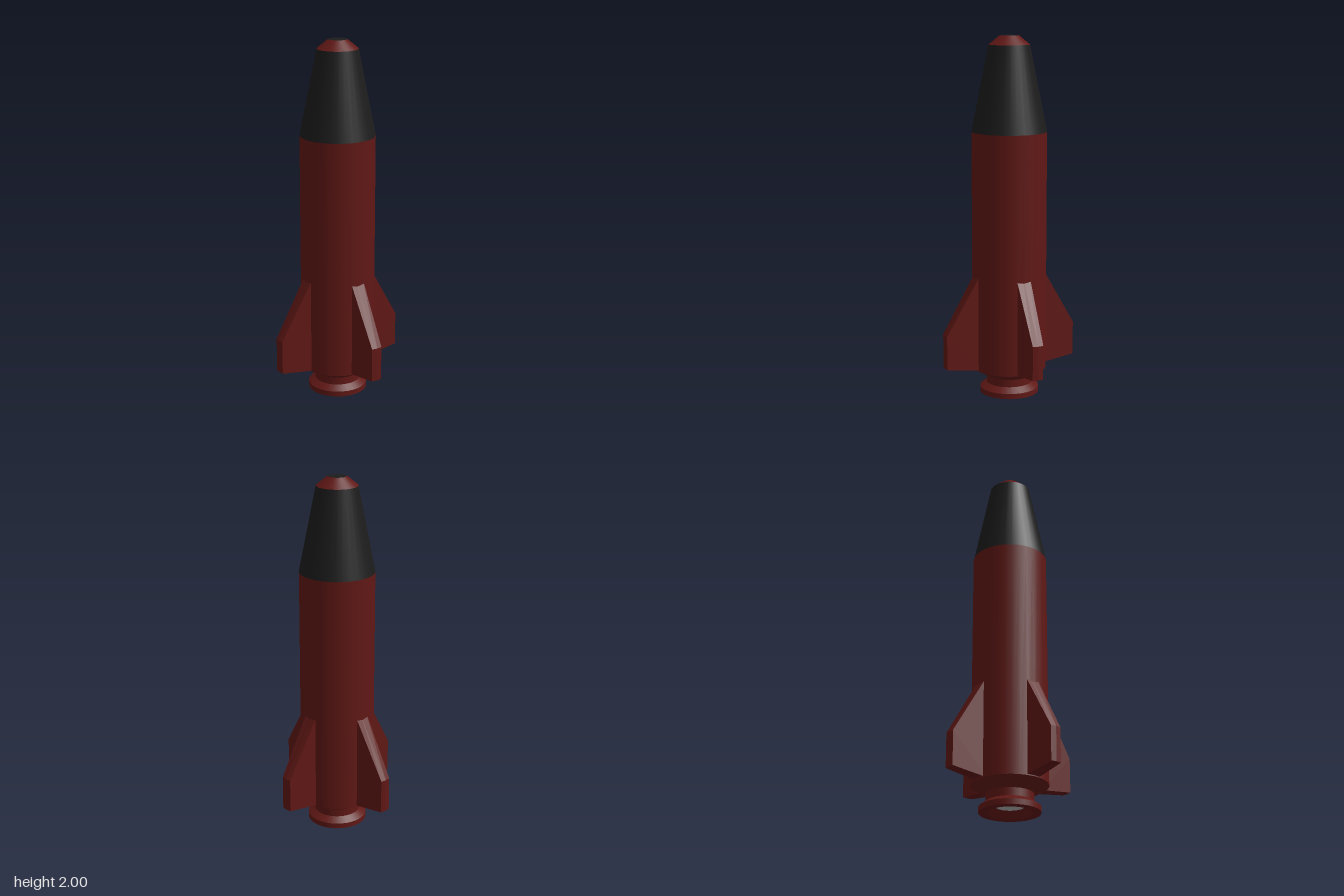
import * as THREE from 'three';

const paint = (color) => new THREE.MeshStandardMaterial({ color, side: THREE.DoubleSide });
const SIDES = 32;

export function createModel() {
  const rocket = new THREE.Group();
  rocket.name = 'rocket';
  const red = paint(0x601815);
  const black = paint(0x1c1c1c);
  const grey = paint(0xb0b0b0);

  // Open conical band between two heights, smooth around and crisp at its ends
  const band = (name, y0, r0, y1, r1, material, parent = rocket) => {
    const geometry = new THREE.CylinderGeometry(r1, r0, Math.abs(y1 - y0), SIDES, 1, true);
    const mesh = new THREE.Mesh(geometry, material);
    mesh.position.y = (y0 + y1) / 2;
    mesh.name = name;
    parent.add(mesh);
  };

  const disc = (name, y, r, facing, material) => {
    const mesh = new THREE.Mesh(new THREE.CircleGeometry(r, SIDES), material);
    mesh.rotation.x = -facing * Math.PI / 2;
    mesh.position.y = y;
    mesh.name = name;
    rocket.add(mesh);
  };

  // Fuselage and nose
  band('tailCone', 0.1, 0.128, 0.145, 0.207, red);
  band('fuselage', 0.145, 0.207, 1.48, 0.207, red);
  band('noseCone', 1.48, 0.207, 1.95, 0.113, black);
  band('noseTip', 1.95, 0.113, 2, 0.052, red);
  disc('noseCap', 2, 0.052, 1, black);

  // Engine nozzle with a shallow conical recess
  const nozzle = new THREE.Group();
  nozzle.name = 'nozzle';
  rocket.add(nozzle);
  band('nozzleNeck', 0.057, 0.128, 0.1, 0.128, red, nozzle);
  band('nozzleFlare', 0.03, 0.165, 0.057, 0.128, red, nozzle);
  band('nozzleRim', 0, 0.165, 0.03, 0.165, red, nozzle);
  band('nozzleRecess', 0, 0.118, 0.035, 0.077, red, nozzle);
  const lip = new THREE.Mesh(new THREE.RingGeometry(0.118, 0.165, SIDES), red);
  lip.name = 'nozzleLip';
  lip.rotation.x = Math.PI / 2;
  nozzle.add(lip);
  disc('engineCore', 0.035, 0.077, -1, grey);

  // Fin: swept outline, thinning outward, with a slightly bowed tip
  const outline = new THREE.Shape([
    [0.18, 0.148], [0.386, 0.175], [0.386, 0.365], [0.18, 0.715],
  ].map(([x, y]) => new THREE.Vector2(x, y)));
  let finGeometry = new THREE.ExtrudeGeometry(outline, { depth: 2, steps: 2, bevelEnabled: false });
  finGeometry.translate(0, 0, -1);
  const p = finGeometry.attributes.position;
  for (let i = 0; i < p.count; i++) {
    const x = p.getX(i);
    const side = p.getZ(i);
    p.setZ(i, side * THREE.MathUtils.mapLinear(x, 0.2, 0.386, 0.04, 0.031));
    if (x > 0.3 && Math.abs(side) < 0.5) p.setX(i, 0.39);
  }
  if (finGeometry.index) finGeometry = finGeometry.toNonIndexed();
  finGeometry.computeVertexNormals();

  for (let i = 0; i < 4; i++) {
    const fin = new THREE.Mesh(finGeometry, red);
    fin.name = 'fin' + (i + 1);
    fin.rotation.y = i * Math.PI / 2;
    rocket.add(fin);
  }
  return rocket;
}
